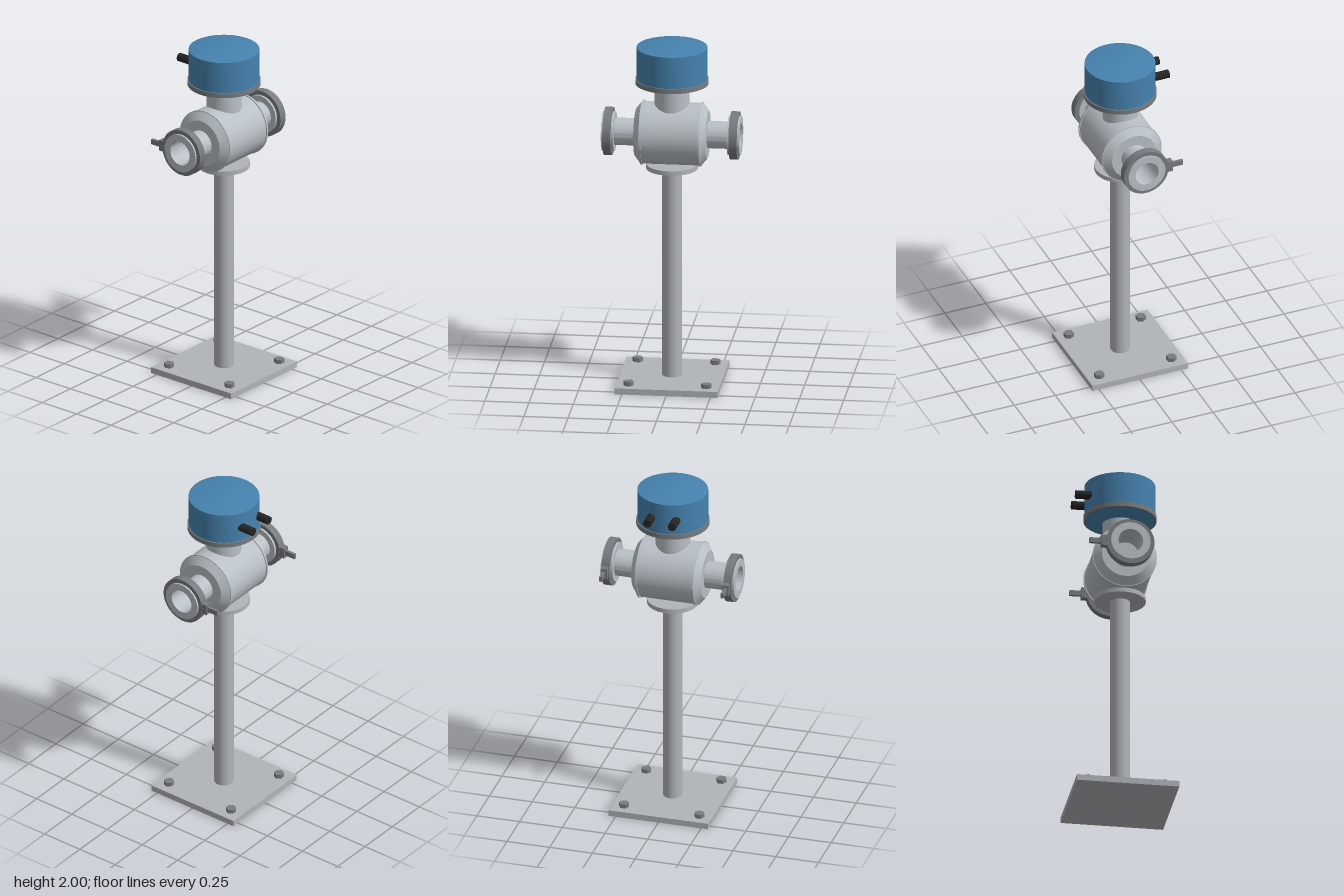
import * as THREE from 'three';
import { toCreasedNormals } from 'three/addons/utils/BufferGeometryUtils.js';

const material = (name, color) => {
  const m = new THREE.MeshStandardMaterial({ color });
  m.name = name;
  return m;
};

export function createModel() {
  const model = new THREE.Group();
  model.name = 'flowMeterOnStand';

  const steel = material('brushed steel', 0xb0b5b9);
  const brightSteel = material('bright steel', 0xb9c0c6);
  const darkSteel = material('dark steel', 0x787c80);
  const blue = material('blue paint', 0x4682ae);
  const black = material('black plastic', 0x242424);

  const add = (parent, name, geometry, mat, x = 0, y = 0, z = 0) => {
    const mesh = new THREE.Mesh(geometry, mat);
    mesh.name = name;
    mesh.position.set(x, y, z);
    parent.add(mesh);
    return mesh;
  };
  // Turned part from [radius, height] pairs, with crisp edges
  const turned = (points, segments = 64) => toCreasedNormals(
    new THREE.LatheGeometry(points.map(([r, h]) => new THREE.Vector2(r, h)), segments), 0.3);
  const rod = (r, h, segments = 48) => new THREE.CylinderGeometry(r, r, h, segments);

  // Stand: base plate, bolts, column and top flange
  add(model, 'basePlate', new THREE.BoxGeometry(0.582, 0.035, 0.582), steel, 0, 0.0175, 0);
  for (const x of [-0.22, 0.22]) {
    for (const z of [-0.22, 0.22]) {
      const bolt = add(model, 'bolt', rod(0.029, 0.024, 6).toNonIndexed(), darkSteel, x, 0.047, z);
      bolt.geometry.computeVertexNormals();
      bolt.rotation.y = Math.PI / 6;
    }
  }
  add(model, 'column', rod(0.055, 1.22), steel, 0, 0.645, 0);
  add(model, 'columnFlange', rod(0.145, 0.026, 64), steel, 0, 1.267, 0);

  // Horizontal meter body with raised bands and chamfered ends
  const axisY = 1.459;
  const body = add(model, 'meterBody', turned([
    [0, -0.204], [0.135, -0.204], [0.178, -0.17], [0.182, -0.17], [0.182, -0.159], [0.176, -0.159],
    [0.176, 0.159], [0.182, 0.159], [0.182, 0.17], [0.178, 0.17], [0.135, 0.204], [0, 0.204],
  ]), brightSteel, 0, axisY, 0);
  body.rotation.z = -Math.PI / 2;

  // Side ports, built along local y: hollow pipe, ferrule, clamp and its lever
  for (const side of [1, -1]) {
    const port = new THREE.Group();
    port.name = side > 0 ? 'leftPort' : 'rightPort';
    port.position.y = axisY;
    port.rotation.z = -side * Math.PI / 2;
    add(port, 'pipe', turned([
      [0.077, 0.19], [0.077, 0.321], [0.112, 0.321], [0.112, 0.39],
      [0.07, 0.39], [0.07, 0.21], [0, 0.21],
    ]), brightSteel);
    add(port, 'clampRing', turned([
      [0.11, 0.334], [0.136, 0.334], [0.136, 0.379], [0.11, 0.379],
    ]), darkSteel);
    add(port, 'clampLug', new THREE.BoxGeometry(0.064, 0.039, 0.045), darkSteel, 0, 0.356, -0.1425);
    add(port, 'clampLever', new THREE.BoxGeometry(0.03, 0.017, 0.07), darkSteel, 0, 0.356, -0.196);
    model.add(port);
  }

  // Neck and transmitter head
  add(model, 'neck', rod(0.098, 0.2), brightSteel, 0, 1.64, 0);
  add(model, 'headBase', turned([[0, 1.735], [0.14, 1.735], [0.198, 1.757], [0, 1.757]]), blue);
  add(model, 'headRing', rod(0.206, 0.028, 64), darkSteel, 0, 1.77, 0);
  add(model, 'headCover', turned([[0.199, 1.78], [0.199, 1.968], [0, 2]]), blue);

  // Cable glands at the back
  for (const x of [-0.072, 0.072]) {
    const gland = add(model, 'cableGland', rod(0.024, 0.1, 24), black, x, 1.87, -0.215);
    gland.rotation.x = Math.PI / 2;
  }

  return model;
}
